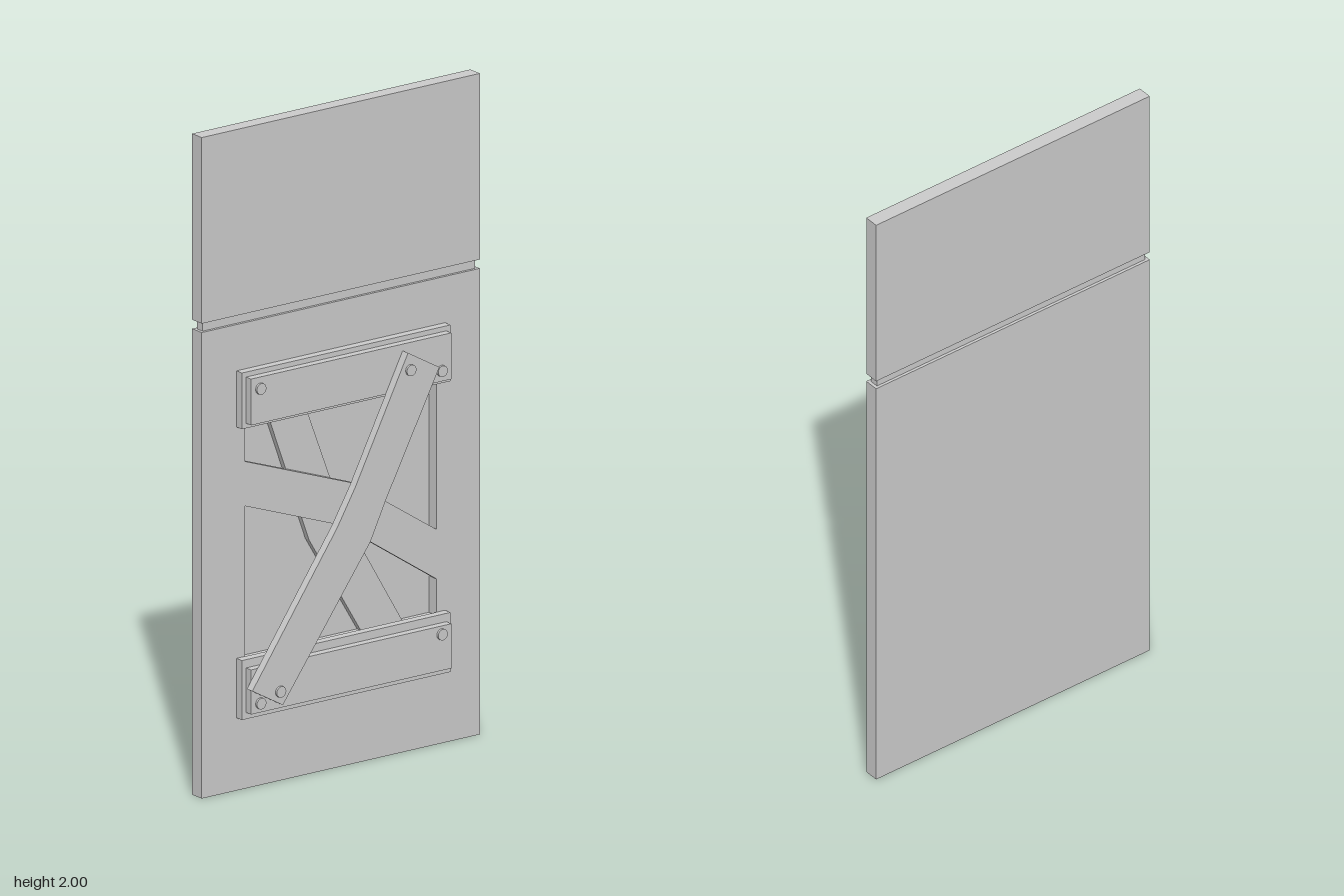
import * as THREE from 'three';

const material = new THREE.MeshStandardMaterial({ color: 0xcccccc, flatShading: true });
const smooth = new THREE.MeshStandardMaterial({ color: 0xcccccc });

// Outline points are [z, y]; the outline is extruded along x from x0 to x1
function plate(name, points, x0, x1, hole) {
  const toVec = ([z, y]) => new THREE.Vector2(-z, y);
  const shape = new THREE.Shape(points.map(toVec));
  if (hole) shape.holes.push(new THREE.Path(hole.map(toVec)));
  const geo = new THREE.ExtrudeGeometry(shape, { depth: x1 - x0, bevelEnabled: false });
  geo.rotateY(Math.PI / 2).translate(x0, 0, 0);
  const mesh = new THREE.Mesh(geo, material);
  mesh.name = name;
  return mesh;
}

// Rectangle centred on z = 0
const rect = (halfZ, y0, y1) => [[halfZ, y0], [-halfZ, y0], [-halfZ, y1], [halfZ, y1]];

function rivet(z, y, x0) {
  const geo = new THREE.CylinderGeometry(0.017, 0.017, 0.014, 16);
  geo.rotateZ(-Math.PI / 2).translate(x0, y, z);
  const mesh = new THREE.Mesh(geo, smooth);
  mesh.name = 'rivet';
  return mesh;
}

export function createModel() {
  const group = new THREE.Group();
  const back = -0.066, floor = -0.057, face = -0.02;

  // Wall slab: lower part with a recess, narrow groove, upper part
  const recess = rect(0.345, 0.39, 1.11);
  group.add(
    plate('lowerSlabBack', rect(0.5, 0, 1.41), back, floor),
    plate('lowerSlabFront', rect(0.5, 0, 1.41), floor, face, recess),
    plate('grooveStrip', rect(0.49, 1.41, 1.437), back + 0.009, face - 0.009),
    plate('upperSlab', rect(0.5, 1.437, 2), back, face),
  );

  // Crossed planks inside the recess
  group.add(
    plate('recessUprightPlank', [
      [0.249, 1.11], [0.1, 0.7], [-0.086, 0.39], [-0.236, 0.39], [-0.019, 0.76], [0.114, 1.11],
    ], floor, -0.039),
    plate('recessCrossPlank', [
      [0.345, 0.99], [0.345, 0.855], [0, 0.73], [-0.345, 0.5], [-0.345, 0.65], [-0.042, 0.85],
    ], -0.039, face),
  );

  // Stepped rails above and below the recess
  for (const [name, y0, y1, i0, i1] of [
    ['topRail', 1.1, 1.27, 1.115, 1.255],
    ['bottomRail', 0.22, 0.4, 0.24, 0.375],
  ]) {
    group.add(
      plate(name + 'Base', rect(0.375, y0, y1), face, 0.006),
      plate(name + 'Cover', rect(0.36, i0, i1), 0.006, 0.03),
    );
  }

  // Bent diagonal brace across both rails
  group.add(plate('diagonalBrace', [
    [-0.185, 1.235], [0.005, 0.865], [0.07, 0.755], [0.375, 0.32],
    [0.265, 0.257], [-0.05, 0.69], [-0.105, 0.805], [-0.298, 1.17],
  ], 0.03, 0.056));

  // Rivets on the rails and the brace
  for (const [z, y, x] of [
    [0.327, 1.22, 0.03], [-0.325, 1.147, 0.03], [0.327, 0.268, 0.03], [-0.325, 0.35, 0.03],
    [-0.193, 1.182, 0.056], [0.275, 0.3, 0.056],
  ]) group.add(rivet(z, y, x));

  return group;
}
